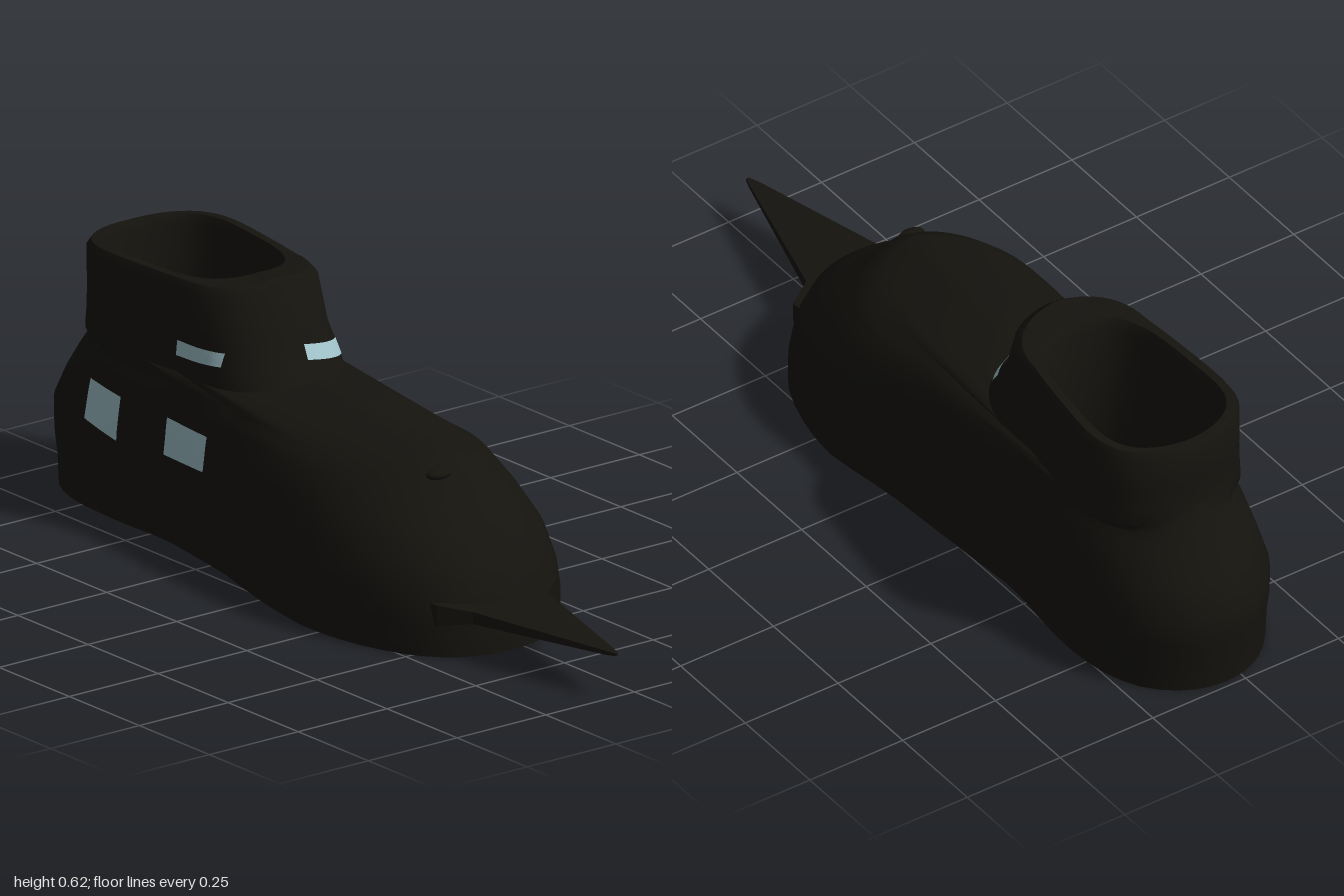
import * as THREE from 'three';
import { toCreasedNormals } from 'three/addons/utils/BufferGeometryUtils.js';

const DARK = 0x15130e, GLASS = 0x9fc0c8;
const lerp = THREE.MathUtils.lerp;
const material = (color) => new THREE.MeshStandardMaterial({ color, side: THREE.DoubleSide });

// linear lookup of column c in a table of [z, ...values]
function lookup(table, z, c) {
  if (z <= table[0][0]) return table[0][c];
  for (let i = 1; i < table.length; i++) {
    const a = table[i - 1], b = table[i];
    if (z <= b[0]) return lerp(a[c], b[c], (z - a[0]) / (b[0] - a[0]));
  }
  return table[table.length - 1][c];
}

// joins closed rings of equal length, with a cap at both ends
function loft(rings, crease) {
  const n = rings[0].length, pos = [], index = [];
  rings.forEach((r) => r.forEach((p) => pos.push(...p)));
  for (let k = 0; k < rings.length - 1; k++) {
    for (let i = 0; i < n; i++) {
      const j = (i + 1) % n, a = k * n, b = a + n;
      index.push(a + i, a + j, b + j, a + i, b + j, b + i);
    }
  }
  [0, rings.length - 1].forEach((k) => {
    const mid = [0, 1, 2].map((c) => rings[k].reduce((s, p) => s + p[c], 0) / n);
    const m = pos.length / 3;
    pos.push(...mid);
    for (let i = 0; i < n; i++) {
      const a = k * n + i, b = k * n + (i + 1) % n;
      if (k === 0) index.push(m, b, a);
      else index.push(m, a, b);
    }
  });
  const g = new THREE.BufferGeometry();
  g.setAttribute('position', new THREE.Float32BufferAttribute(pos, 3));
  g.setIndex(index);
  return toCreasedNormals(g, crease);
}

// footprint: z, centre x, half width
const FOOT = [
  [-0.9, 0.04, 0.27], [-0.69, 0.04, 0.238], [-0.45, 0.03, 0.207], [-0.2, 0.02, 0.235],
  [0, 0.0, 0.268], [0.2, -0.003, 0.306], [0.45, -0.015, 0.312], [0.6, -0.04, 0.31],
];

// levels of the boot: back z, front z, back y, side y, front y, heel scale, toe scale
const LEVELS = [
  [-0.985, 0.61, 0, 0, 0, 1, 1],
  [-0.99, 0.61, 0.07, 0.07, 0.07, 1, 0.995],
  [-1, 0.595, 0.13, 0.13, 0.12, 1, 0.985],
  [-1, 0.555, 0.2, 0.2, 0.19, 1, 0.95],
  [-0.96, 0.47, 0.27, 0.27, 0.26, 0.96, 0.87],
  [-0.92, 0.385, 0.33, 0.325, 0.33, 0.92, 0.78],
  [-0.9, 0.365, 0.37, 0.345, 0.36, 0.88, 0.7],
  [-0.885, 0.3, 0.4, 0.36, 0.4, 0.85, 0.62],
  [-0.875, -0.17, 0.42, 0.385, 0.402, 0.83, 0.6],
  [-0.87, -0.2, 0.45, 0.43, 0.43, 0.82, 0.75],
  [-0.87, -0.235, 0.49, 0.48, 0.48, 0.8, 0.8],
  [-0.87, -0.27, 0.575, 0.58, 0.595, 0.79, 0.79],
  [-0.86, -0.295, 0.59, 0.596, 0.615, 0.75, 0.73],
  [-0.845, -0.37, 0.59, 0.596, 0.605, 0.66, 0.65],
  [-0.835, -0.385, 0.57, 0.575, 0.58, 0.62, 0.62],
  [-0.85, -0.34, 0.15, 0.15, 0.15, 0.66, 0.66],
];

function levelRing([zb, zf, yb, ys, yf, heel, toe]) {
  const ring = [];
  for (let i = 0; i < 64; i++) {
    const a = (i / 64) * Math.PI * 2, u = Math.cos(a);
    const z = lerp(zb, zf, (u + 1) / 2);
    const cap = Math.sqrt(Math.max(0, 1 - u ** 4));
    const scale = lerp(heel, toe, THREE.MathUtils.smoothstep(z, -0.35, 0.15));
    const x = lookup(FOOT, z, 1) + Math.sign(Math.sin(a)) * cap * lookup(FOOT, z, 2) * scale;
    ring.push([x, lerp(u > 0 ? yf : yb, ys, cap), z]);
  }
  return ring;
}

// four-cornered panel [p00, p10, p11, p01] laid on the boot along a ray direction
function panel(name, boot, dir, corners) {
  const g = new THREE.PlaneGeometry(1, 1, 8, 4), p = g.attributes.position, uv = g.attributes.uv;
  const [a, b, c, d] = corners.map((q) => new THREE.Vector3(...q));
  const ray = new THREE.Raycaster();
  for (let i = 0; i < p.count; i++) {
    const s = uv.getX(i), t = uv.getY(i);
    const q = a.clone().lerp(b, s).lerp(d.clone().lerp(c, s), t);
    ray.set(q.clone().addScaledVector(dir, -2), dir);
    const hit = ray.intersectObject(boot)[0];
    if (hit) q.copy(hit.point);
    q.addScaledVector(dir, -0.006);
    p.setXYZ(i, q.x, q.y, q.z);
  }
  g.computeVertexNormals();
  const mesh = new THREE.Mesh(g, material(GLASS));
  mesh.name = name;
  return mesh;
}

export function createModel() {
  const group = new THREE.Group();
  group.name = 'bladedBoot';
  const add = (name, geometry, color) => {
    const mesh = new THREE.Mesh(geometry, material(color));
    mesh.name = name;
    group.add(mesh);
    return mesh;
  };

  // foot, ankle, rim and lining in one skin
  const boot = add('boot', loft(LEVELS.map(levelRing), 0.7), DARK);
  boot.updateMatrixWorld(true);

  // flat blade out of the toe: z, centre x, half width, half height
  const sections = [
    [0.48, -0.03, 0.17, 0.024], [0.55, -0.03, 0.17, 0.024],
    [0.61, -0.042, 0.105, 0.014], [0.97, -0.05, 0.013, 0.005], [1, -0.05, 0.004, 0.003],
  ];
  const blade = sections.map(([z, x, w, h]) =>
    [[w, h], [-w, h], [-w, -h], [w, -h]].map(([dx, dy]) => [x + dx, 0.098 + dy, z]));
  add('toeBlade', loft(blade, 0.3), DARK);
  add('bladeTip', new THREE.BoxGeometry(0.008, 0.006, 0.004).translate(-0.05, 0.098, 0.998), GLASS);

  // small raised tab on the toe cap
  const tab = add('toeTab', new THREE.SphereGeometry(1, 16, 8), DARK);
  tab.scale.set(0.033, 0.012, 0.02);
  tab.position.set(-0.05, 0.348, 0.365);

  // light panels on the ankle front and the outer side
  const back = new THREE.Vector3(0, 0, -1), inward = new THREE.Vector3(1, 0, 0);
  group.add(
    panel('shinPanel', boot, back,
      [[0.03, 0.443, 0], [0.157, 0.42, 0], [0.157, 0.452, 0], [0.036, 0.473, 0]]),
    panel('upperSidePanel', boot, inward,
      [[0, 0.425, -0.45], [0, 0.435, -0.3], [0, 0.465, -0.3], [0, 0.46, -0.45]]),
    panel('middleSidePanel', boot, inward,
      [[0, 0.2, -0.45], [0, 0.21, -0.28], [0, 0.29, -0.28], [0, 0.285, -0.45]]),
    panel('rearSidePanel', boot, inward,
      [[0, 0.21, -0.73], [0, 0.19, -0.61], [0, 0.24, -0.61], [0, 0.3, -0.68]].map(
        ([x, y, z], i) => [x, i === 2 ? 0.29 : y, i === 3 ? -0.73 : z])),
  );
  return group;
}
